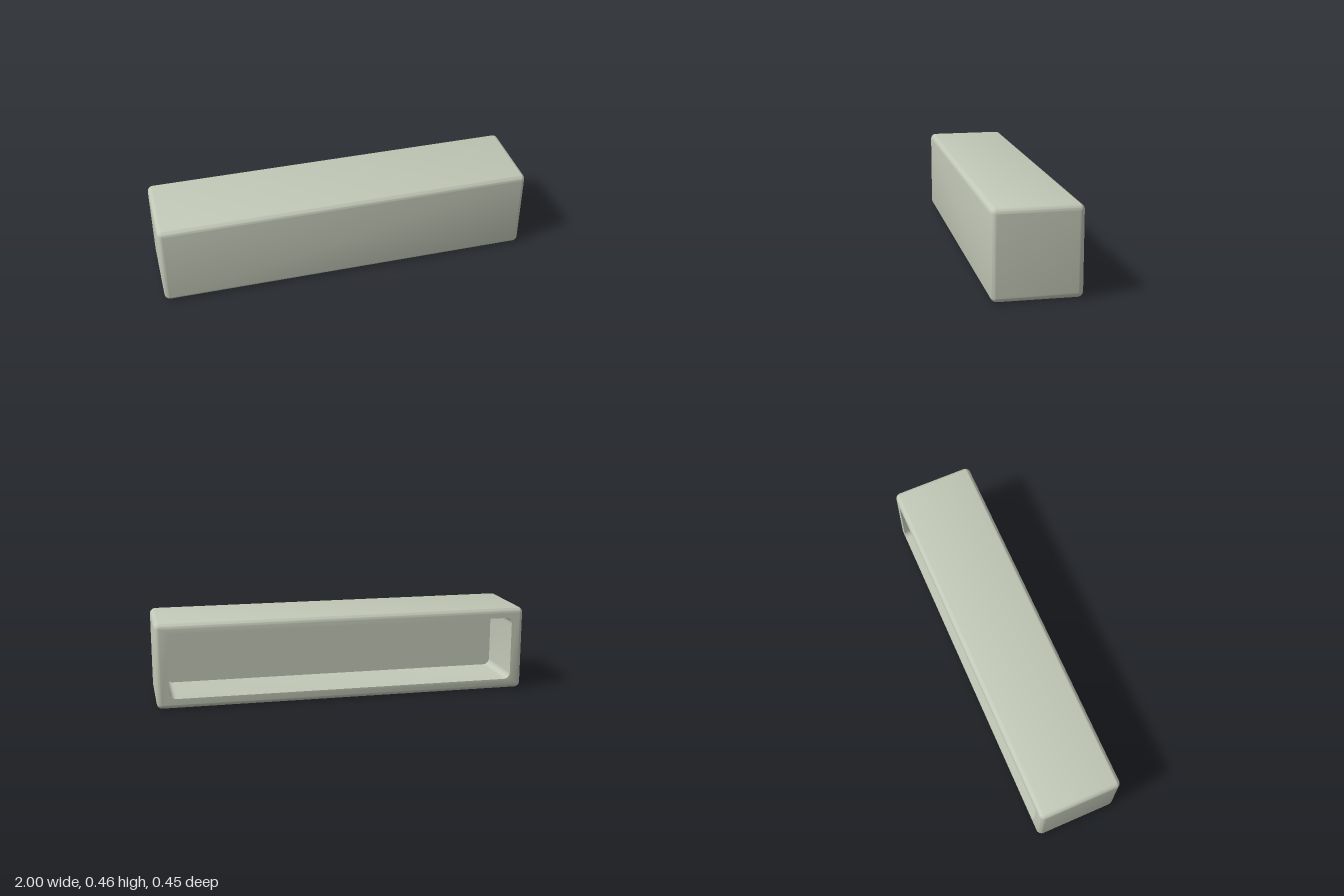
import * as THREE from 'three';
import { toCreasedNormals } from 'three/addons/utils/BufferGeometryUtils.js';

const W = 1, H = 0.2275, D = 0.2235;   // half sizes
const R = 0.03;                        // rounding of the outer edges
const SEG = 8;                         // steps per rounded corner

// Rounded rectangle in the xy plane, counter-clockwise seen from +z
function ring(hw, hh, r, z) {
  const points = [];
  for (let c = 0; c < 4; c++) {
    const sx = c === 0 || c === 3 ? 1 : -1;
    const sy = c < 2 ? 1 : -1;
    for (let i = 0; i <= SEG; i++) {
      const a = (c + i / SEG) * Math.PI / 2;
      points.push([sx * (hw - r) + r * Math.cos(a), H + sy * (hh - r) + r * Math.sin(a), z]);
    }
  }
  return points;
}

// Skin consecutive rings; the first and last collapse to a centre point
function skin(rings) {
  const pos = [];
  const n = rings[0].length;
  for (let j = 0; j < rings.length - 1; j++) {
    for (let k = 0; k < n; k++) {
      const l = (k + 1) % n;
      const a = rings[j][k], b = rings[j][l], c = rings[j + 1][l], d = rings[j + 1][k];
      if (j < rings.length - 2) pos.push(...a, ...d, ...c);
      if (j > 0) pos.push(...a, ...c, ...b);
    }
  }
  const geometry = new THREE.BufferGeometry();
  geometry.setAttribute('position', new THREE.Float32BufferAttribute(pos, 3));
  return toCreasedNormals(geometry, 0.6);
}

export function createModel() {
  const group = new THREE.Group();
  group.name = 'openBackedBox';

  // Outer shell: front face, rounded front edge, sides, rounded back edge
  const rings = [ring(0, 0, 0, D)];
  for (const end of [1, -1]) {
    for (let i = 0; i <= SEG; i++) {
      const a = (end > 0 ? i : SEG - i) / SEG * Math.PI / 2;
      const r = Math.max(R * Math.sin(a), 0.0005);
      rings.push(ring(W - R + r, H - R + r, r, end * (D - R + R * Math.cos(a))));
    }
  }

  // Recess: flat back rim, straight walls, flat floor
  const hw = W - 0.067, hh = H - 0.055, floorZ = -D + 0.325;
  rings.push(ring(hw, hh, 0.035, -D), ring(hw, hh, 0.035, floorZ), ring(0, 0, 0, floorZ));

  const shell = new THREE.Mesh(skin(rings), new THREE.MeshStandardMaterial({ color: 0xc2c8b7 }));
  shell.name = 'hollowShell';
  group.add(shell);
  return group;
}
